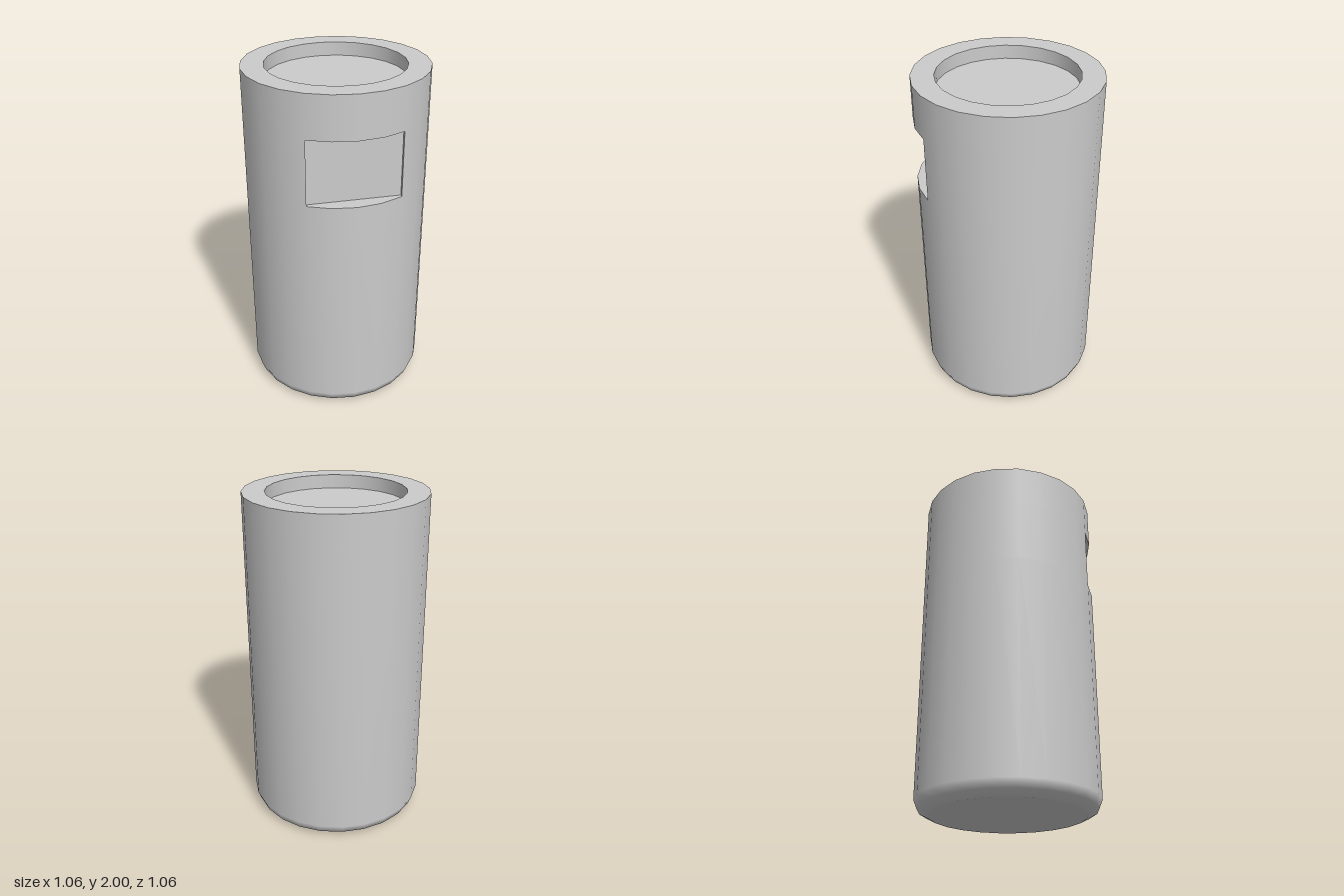
import * as THREE from 'three';

const R = 0.53, SIDES = 24;
const WIN_LOW = 1.37, WIN_HIGH = 1.75, WIN_ANGLE = Math.PI / 6, WIN_DEPTH_Z = 0.44;

export function createModel() {
  const model = new THREE.Group();
  const solid = new THREE.MeshStandardMaterial({ color: 0xcccccc });
  const thin = new THREE.MeshStandardMaterial({ color: 0xcccccc, side: THREE.DoubleSide });

  const add = (name, geometry, material = solid, parent = model) => {
    const mesh = new THREE.Mesh(geometry, material);
    mesh.name = name;
    parent.add(mesh);
    return mesh;
  };
  // Each profile is a list of [radius, height]; separate pieces keep edges sharp
  const turn = (name, profile, start = 0, sweep = Math.PI * 2) => add(name, new THREE.LatheGeometry(
    profile.map(([r, y]) => new THREE.Vector2(r, y)),
    Math.round(SIDES * sweep / (Math.PI * 2)), start, sweep));

  // Outer body: rounded foot, wall interrupted by the window
  turn('base', [[0, 0], [0.45, 0]]);
  turn('lowerBody', [[0.45, 0], [0.51, 0.03], [R, 0.08], [R, WIN_LOW]]);
  turn('windowBand', [[R, WIN_LOW], [R, WIN_HIGH]], WIN_ANGLE, Math.PI * 2 - 2 * WIN_ANGLE);
  turn('upperBody', [[R, WIN_HIGH], [R, 2]]);

  // Rim and shallow round recess in the top
  turn('rim', [[R, 2], [0.4, 2]]);
  turn('topRecessWall', [[0.4, 2], [0.4, 1.92]]);
  turn('topRecessFloor', [[0.4, 1.92], [0, 1.92]]);

  // Rectangular window recess in the front
  const recess = new THREE.Group();
  recess.name = 'windowRecess';
  model.add(recess);
  const halfWidth = R * Math.sin(WIN_ANGLE), edgeZ = R * Math.cos(WIN_ANGLE);
  const height = WIN_HIGH - WIN_LOW, midY = (WIN_HIGH + WIN_LOW) / 2;
  add('windowPanel', new THREE.PlaneGeometry(2 * halfWidth, height), thin, recess)
    .position.set(0, midY, WIN_DEPTH_Z);

  const outline = [new THREE.Vector2(-halfWidth, WIN_DEPTH_Z)];
  for (let i = -2; i <= 2; i++) {
    const a = i * WIN_ANGLE / 2;
    outline.push(new THREE.Vector2(R * Math.sin(a), R * Math.cos(a)));
  }
  outline.push(new THREE.Vector2(halfWidth, WIN_DEPTH_Z));
  const ledge = new THREE.ShapeGeometry(new THREE.Shape(outline)).rotateX(Math.PI / 2);
  add('windowSill', ledge, thin, recess).position.y = WIN_LOW;
  add('windowLintel', ledge, thin, recess).position.y = WIN_HIGH;

  for (const [name, side] of [['leftJamb', 1], ['rightJamb', -1]]) {
    const jamb = new THREE.PlaneGeometry(edgeZ - WIN_DEPTH_Z, height).rotateY(-side * Math.PI / 2);
    add(name, jamb, thin, recess).position.set(side * halfWidth, midY, (edgeZ + WIN_DEPTH_Z) / 2);
  }
  return model;
}
